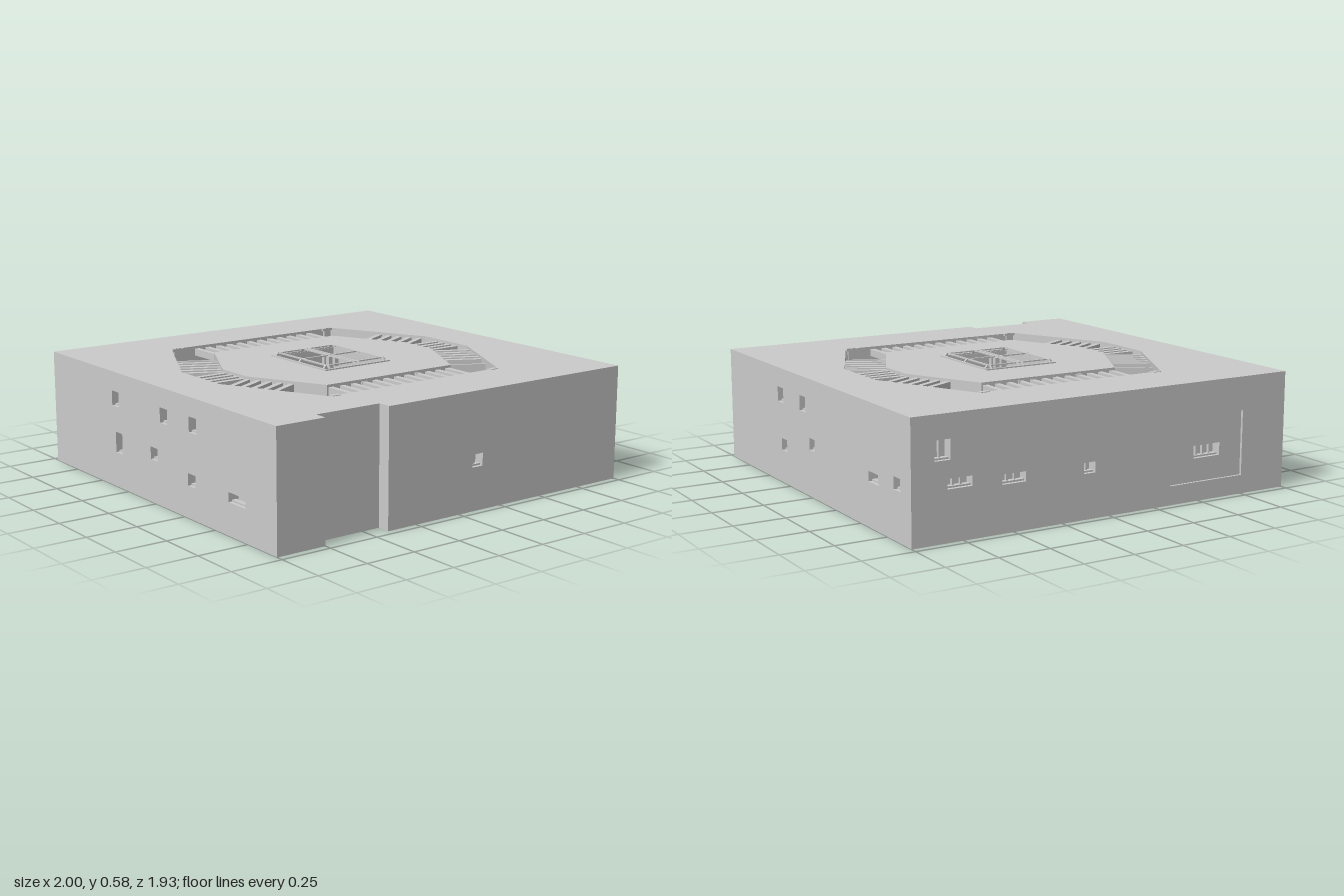
import * as THREE from 'three';

const mat = new THREE.MeshStandardMaterial({ color: 0xcccccc, flatShading: true, side: THREE.DoubleSide });
const TOP = 0.56, W = 0.965, PIT = 0.2, THICK = 0.07;

function add(parent, name, geo, x = 0, y = 0, z = 0) {
  const m = new THREE.Mesh(geo, mat);
  m.name = name;
  m.position.set(x, y, z);
  parent.add(m);
  return m;
}
const box = (parent, name, w, h, d, x, y, z) => add(parent, name, new THREE.BoxGeometry(w, h, d), x, y, z);
const poly = (pts) => new THREE.Shape(pts.map(([x, y]) => new THREE.Vector2(x, y)));
const rect = (x0, y0, x1, y1) => poly([[x0, y0], [x1, y0], [x1, y1], [x0, y1]]);
const extrude = (shape, depth) =>
  new THREE.ExtrudeGeometry(shape, { depth, bevelEnabled: false, curveSegments: 10 });

// Horizontal slab from a plan drawn in (x, -z)
function slab(parent, name, shape, y0, y1, holes = []) {
  shape.holes.push(...holes);
  const m = add(parent, name, extrude(shape, y1 - y0), 0, y0, 0);
  m.rotation.x = -Math.PI / 2;
  return m;
}

const octagon = (ax, az, bx, bz) => poly([
  [ax, az], [bx, bz], [bx, -bz], [ax, -az], [-ax, -az], [-bx, -bz], [-bx, bz], [-ax, az]]);
const outer = (o = 0) => octagon(0.5 + o * 0.6, 0.66 + o, 0.75 + o, 0.16 + o * 0.6);
const inner = (o = 0) => octagon(0.37 - o * 0.6, 0.47 - o, 0.56 - o, 0.10 - o * 0.6);
const footprint = () => poly([
  [-1, W], [1, W], [1, -W], [-0.41, -W], [-0.41, -0.9], [-0.75, -0.9], [-0.75, -W], [-1, -W]]);

// Wall facing local +z; windows are [centre u, centre y, width, height, mullions]
function wall(parent, name, u0, u1, front, windows) {
  const shape = rect(u0, 0.02, u1, 0.54);
  for (const [u, y, w, h, mullions = 1] of windows) {
    shape.holes.push(rect(u - w / 2, y - h / 2, u + w / 2, y + h / 2));
    box(parent, 'windowPane', w, h, 0.01, u, y, front - 0.055);
    for (let i = 1; i <= mullions; i++)
      box(parent, 'windowMullion', 0.008, h, 0.015, u - w / 2 + (w * i) / (mullions + 1), y, front - 0.035);
    box(parent, 'windowSill', w, 0.008, 0.025, u, y - h / 2 + 0.004, front - 0.03);
  }
  add(parent, name, extrude(shape, THICK), 0, 0, front - THICK);
}

function side(root, name, angle) {
  const g = new THREE.Group();
  g.name = name;
  g.rotation.y = angle;
  root.add(g);
  return g;
}

// Beams spanning the pit from an inner edge (ax,az)-(bx,bz) outward
function beams(root, ax, az, bx, bz, count, length) {
  const dx = bx - ax, dz = bz - az, l = Math.hypot(dx, dz);
  let nx = dz / l, nz = -dx / l;
  if (nx * (ax + bx) + nz * (az + bz) < 0) { nx = -nx; nz = -nz; }
  for (let i = 0; i < count; i++) {
    const t = (i + 0.5) / count;
    const b = box(root, 'pitBeam', 0.026, 0.035, length,
      ax + dx * t + nx * length / 2, TOP - 0.03, az + dz * t + nz * length / 2);
    b.rotation.y = Math.atan2(nx, nz);
  }
}

// Low skylight bar with sloped ends
function archBar(root, half, offset, alongX) {
  const h = 0.02, t = 0.006;
  const shape = poly([[-half, 0], [-half + 0.02, h], [half - 0.02, h], [half, 0],
    [half - t, 0], [half - 0.022, h - t], [-half + 0.022, h - t], [-half + t, 0]]);
  const geo = extrude(shape, 0.01).translate(0, 0, -0.005);
  const m = add(root, 'skylightBar', geo, alongX ? 0 : offset, TOP, alongX ? offset : 0);
  if (!alongX) m.rotation.y = Math.PI / 2;
}

export function createModel() {
  const root = new THREE.Group();
  root.name = 'building';
  const light = () => rect(-0.18, -0.21, 0.18, 0.21);

  // Slabs
  slab(root, 'baseSlab', footprint(), 0, 0.02);
  slab(root, 'roof', footprint(), 0.54, TOP, [outer()]);
  slab(root, 'centreRoof', inner(), 0.54, TOP, [light()]);
  slab(root, 'pitFloor', outer(0.02), PIT - 0.02, PIT);
  slab(root, 'pitOuterWall', outer(0.02), PIT, 0.54, [outer()]);
  slab(root, 'pitInnerWall', inner(), PIT, 0.54, [inner(0.02)]);

  // Outer walls with windows
  const front = side(root, 'frontSide', 0);
  wall(front, 'frontWall', -0.41, 0.93, W, [[0.107, 0.237, 0.06, 0.06]]);
  wall(front, 'frontCornerWall', -0.93, -0.75, W, []);
  wall(front, 'nicheWall', -0.8, -0.36, 0.9, [[-0.724, 0.171, 0.032, 0.064, 0]]);

  const right = side(root, 'rightSide', Math.PI / 2);
  wall(right, 'rightWall', -W, W, 1, [
    [-0.348, 0.43, 0.064, 0.072], [-0.098, 0.43, 0.064, 0.072], [-0.002, 0.252, 0.056, 0.057],
    [-0.316, 0.189, 0.062, 0.058], [0.622, 0.23, 0.093, 0.047, 0], [0.84, 0.252, 0.06, 0.057]]);

  const left = side(root, 'leftSide', -Math.PI / 2);
  wall(left, 'leftWall', -W, W, 1, [
    [-0.355, 0.43, 0.062, 0.072], [-0.33, 0.22, 0.06, 0.1], [-0.01, 0.235, 0.06, 0.06],
    [0.08, 0.43, 0.062, 0.072], [0.31, 0.18, 0.062, 0.058], [0.325, 0.435, 0.062, 0.072],
    [0.67, 0.175, 0.13, 0.045, 0]]);

  const back = side(root, 'backSide', Math.PI);
  wall(back, 'backWall', -0.93, 0.336, W, [
    [-0.85, 0.405, 0.075, 0.09], [-0.767, 0.256, 0.12, 0.045, 2],
    [-0.5, 0.24, 0.12, 0.045, 2], [-0.11, 0.235, 0.06, 0.05]]);
  wall(back, 'backCornerWall', 0.75, 0.93, W, []);
  // Shallow recessed panel in the back wall
  wall(back, 'recessedPanel', 0.336, 0.75, W - 0.012, [[0.55, 0.23, 0.15, 0.06, 3]]);
  box(back, 'panelHeader', 0.414, 0.14, 0.05, 0.543, 0.47, W - 0.025);
  box(back, 'panelFooter', 0.414, 0.07, 0.05, 0.543, 0.055, W - 0.025);

  // Beams over the pit, corner posts and edge brackets
  for (const s of [-1, 1]) {
    beams(root, -0.38, s * 0.47, 0.38, s * 0.47, 12, 0.19);
    beams(root, s * 0.56, -0.1, s * 0.56, 0.1, 4, 0.19);
    for (const t of [-1, 1]) {
      beams(root, s * 0.44, t * 0.335, s * 0.57, t * 0.08, 5, 0.2);
      box(root, 'cornerPost', 0.04, 0.12, 0.025, s * 0.47, TOP - 0.057, t * 0.662);
      box(root, 'postCap', 0.06, 0.012, 0.014, s * 0.47, TOP - 0.005, t * 0.655);
      box(root, 'edgeBracket', 0.03, 0.03, 0.012, s * 0.16, TOP - 0.025, t * 0.473);
    }
    // Partition across one diagonal run
    const p = box(root, 'pitPartition', 0.012, 0.34, 0.2, s * 0.5, PIT + 0.17, s * 0.43);
    p.rotation.y = Math.atan2(0.89, 0.457);
  }

  // Curved landing low in the pit
  const landing = new THREE.Shape();
  landing.moveTo(0.25, 0.5);
  landing.quadraticCurveTo(0.25, 0.56, 0.31, 0.56);
  landing.lineTo(0.53, 0.56);
  landing.lineTo(0.55, 0.5);
  slab(root, 'pitLanding', landing, PIT, PIT + 0.08);

  // Skylight well with two half-round plinths
  slab(root, 'skylightWell', rect(-0.19, -0.22, 0.19, 0.22), 0.3, 0.54, [light()]);
  slab(root, 'wellFloor', rect(-0.19, -0.22, 0.19, 0.22), 0.28, 0.3);
  for (const s of [-1, 1]) {
    const d = new THREE.Shape();
    d.moveTo(s * 0.02, -0.16);
    d.lineTo(s * 0.05, -0.16);
    d.quadraticCurveTo(s * 0.125, -0.15, s * 0.125, -0.08);
    d.lineTo(s * 0.125, 0.08);
    d.quadraticCurveTo(s * 0.125, 0.15, s * 0.05, 0.16);
    d.lineTo(s * 0.02, 0.16);
    slab(root, 'halfRoundPlinth', d, 0.3, 0.38);
  }

  // Skylight frame
  for (const z of [-0.195, 0, 0.195]) archBar(root, 0.195, z, true);
  for (const x of [-0.165, -0.012, 0.012, 0.165]) archBar(root, 0.225, x, false);
  for (const s of [-1, 1]) {
    box(root, 'skylightCurb', 0.39, 0.008, 0.012, 0, TOP + 0.002, s * 0.219);
    box(root, 'skylightCurb', 0.012, 0.008, 0.44, s * 0.189, TOP + 0.002, 0);
    for (const t of [-1, 1])
      box(root, 'skylightHub', 0.022, 0.05, 0.022, s * 0.018, TOP - 0.01, t * 0.018);
  }
  return root;
}
